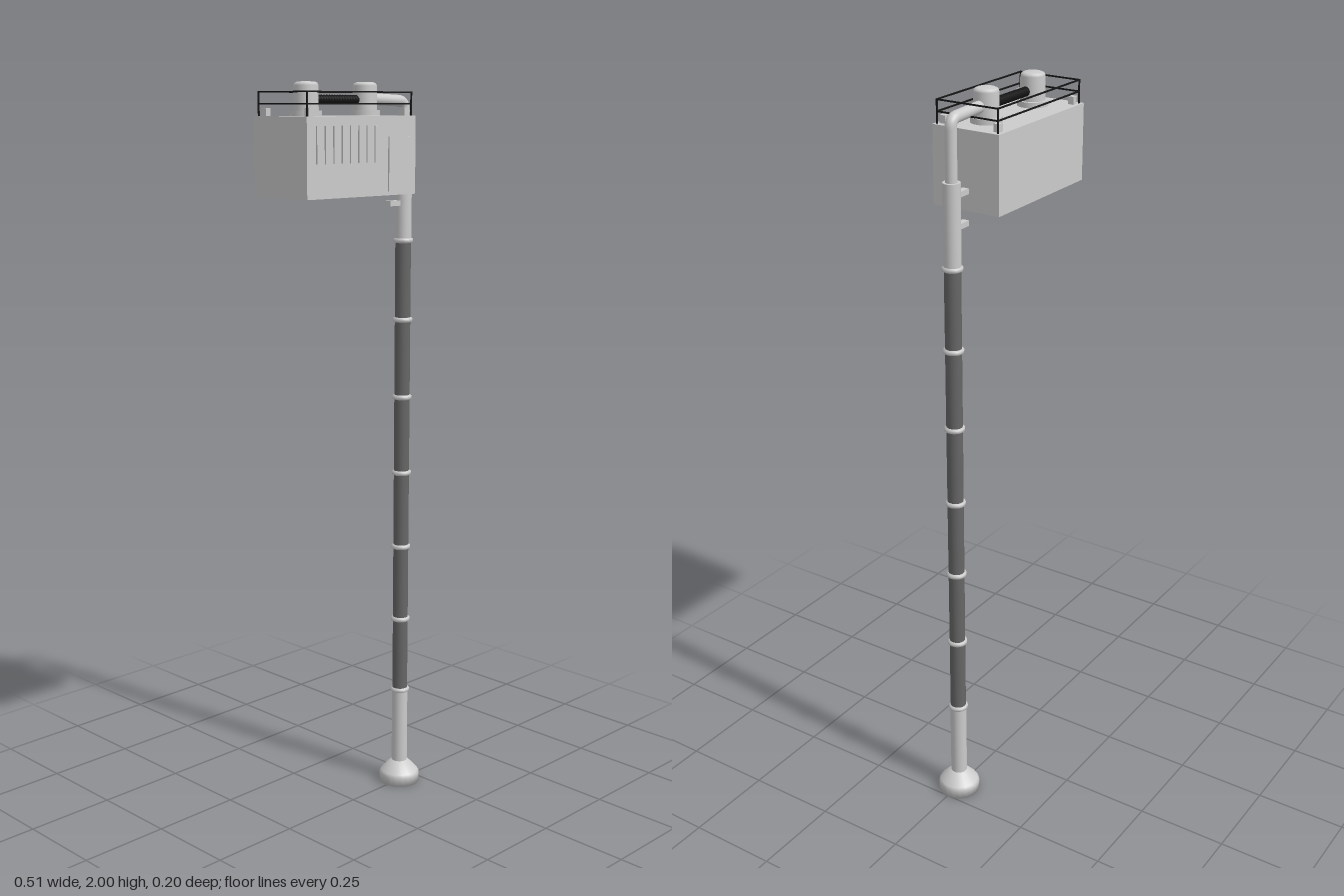
import * as THREE from 'three';

const GREY = 0xcccccc, DARK = 0x666666, BLACK = 0x161616;
const POLE_X = 0.195, Z0 = -0.003;

export function createModel() {
  const root = new THREE.Group();
  const materials = {};
  const mat = (color) => (materials[color] ??= new THREE.MeshStandardMaterial({ color, side: THREE.DoubleSide }));

  function add(name, geometry, x, y, z, color = GREY) {
    const mesh = new THREE.Mesh(geometry, mat(color));
    mesh.name = name;
    mesh.position.set(x, y, z);
    root.add(mesh);
    return mesh;
  }
  // box given by its min and max corners
  const box = (name, x0, x1, y0, y1, z0, z1, color) =>
    add(name, new THREE.BoxGeometry(x1 - x0, y1 - y0, z1 - z0), (x0 + x1) / 2, (y0 + y1) / 2, (z0 + z1) / 2, color);
  // upright cylinder between two heights
  const post = (name, x, y0, y1, r, color, z = Z0) =>
    add(name, new THREE.CylinderGeometry(r, r, y1 - y0, 20), x, (y0 + y1) / 2, z, color);
  const lathe = (name, points, x, y) =>
    add(name, new THREE.LatheGeometry(points.map((p) => new THREE.Vector2(...p)), 20), x, y, Z0);

  // flared foot
  lathe('foot', [[0, 0], [0.058, 0], [0.058, 0.026], [0.053, 0.034], [0.024, 0.065], [0, 0.065]], POLE_X, 0);

  // pole in three stretches, with collars at the joints
  post('lowerPole', POLE_X, 0.06, 0.285, 0.0225);
  post('middlePole', POLE_X, 0.285, 1.585, 0.0215, DARK);
  post('upperPole', POLE_X, 1.585, 1.8, 0.0225);
  for (let i = 0; i < 7; i++) {
    const y = 0.285 + i * 0.2165;
    lathe('poleCollar', [[0.021, -0.007], [0.027, -0.004], [0.027, 0.004], [0.021, 0.007]], POLE_X, y);
  }

  // outlet pipe bending from the pole over to the near tank
  const bend = new THREE.CurvePath();
  const v = (x, y) => new THREE.Vector3(x, y, Z0);
  bend.add(new THREE.LineCurve3(v(POLE_X, 1.78), v(POLE_X, 1.93)));
  bend.add(new THREE.QuadraticBezierCurve3(v(POLE_X, 1.93), v(POLE_X, 1.951), v(0.174, 1.953)));
  bend.add(new THREE.LineCurve3(v(0.174, 1.953), v(0.05, 1.958)));
  add('outletPipe', new THREE.TubeGeometry(bend, 48, 0.015, 16), 0, 0, 0);

  // brackets between cabinet and pole
  for (const y of [1.765, 1.685]) box('poleBracket', 0.135, 0.185, y - 0.007, y + 0.007, Z0 - 0.009, Z0 + 0.009);

  // cabinet with louvres and door on the front
  box('cabinet', -0.255, 0.135, 1.715, 1.915, -0.1, 0.094);
  for (let i = 0; i < 8; i++) {
    const x = -0.224 + i * 0.0293;
    box('louvre', x, x + 0.022, 1.8, 1.892, 0.093, 0.098);
  }
  box('door', 0.032, 0.108, 1.725, 1.863, 0.093, 0.098);

  // corner pads on the roof
  for (const x of [-0.2295, 0.11])
    for (const z of [-0.081, 0.076]) box('cornerPad', x - 0.008, x + 0.008, 1.915, 1.935, z - 0.008, z + 0.008);

  // two tanks on flanges, joined by a ribbed hose
  for (const x of [-0.165, 0.045]) {
    post('tankFlange', x, 1.915, 1.929, 0.04);
    lathe('tank', [[0.032, 0], [0.032, 0.062], [0.029, 0.068], [0.022, 0.071], [0, 0.072]], x, 1.928);
  }
  const hose = add('hose', new THREE.CylinderGeometry(0.0105, 0.0105, 0.16, 16), -0.06, 1.955, Z0, BLACK);
  hose.rotation.z = Math.PI / 2;
  for (let i = 0; i < 16; i++) {
    const rib = add('hoseRib', new THREE.TorusGeometry(0.0095, 0.003, 6, 16), -0.131 + i * 0.0095, 1.955, Z0, BLACK);
    rib.rotation.y = Math.PI / 2;
  }

  // guard rail round the roof
  const [x0, x1, z0, z1, t] = [-0.245, 0.127, -0.091, 0.085, 0.0018];
  for (const y of [1.945, 1.974]) {
    for (const z of [z0, z1]) box('guardRail', x0, x1, y - t, y + t, z - t, z + t, BLACK);
    for (const x of [x0, x1]) box('guardRail', x - t, x + t, y - t, y + t, z0, z1, BLACK);
  }
  for (const x of [x0, x1])
    for (const z of [z0, z1]) box('railPost', x - t, x + t, 1.915, 1.9758, z - t, z + t, BLACK);

  return root;
}
